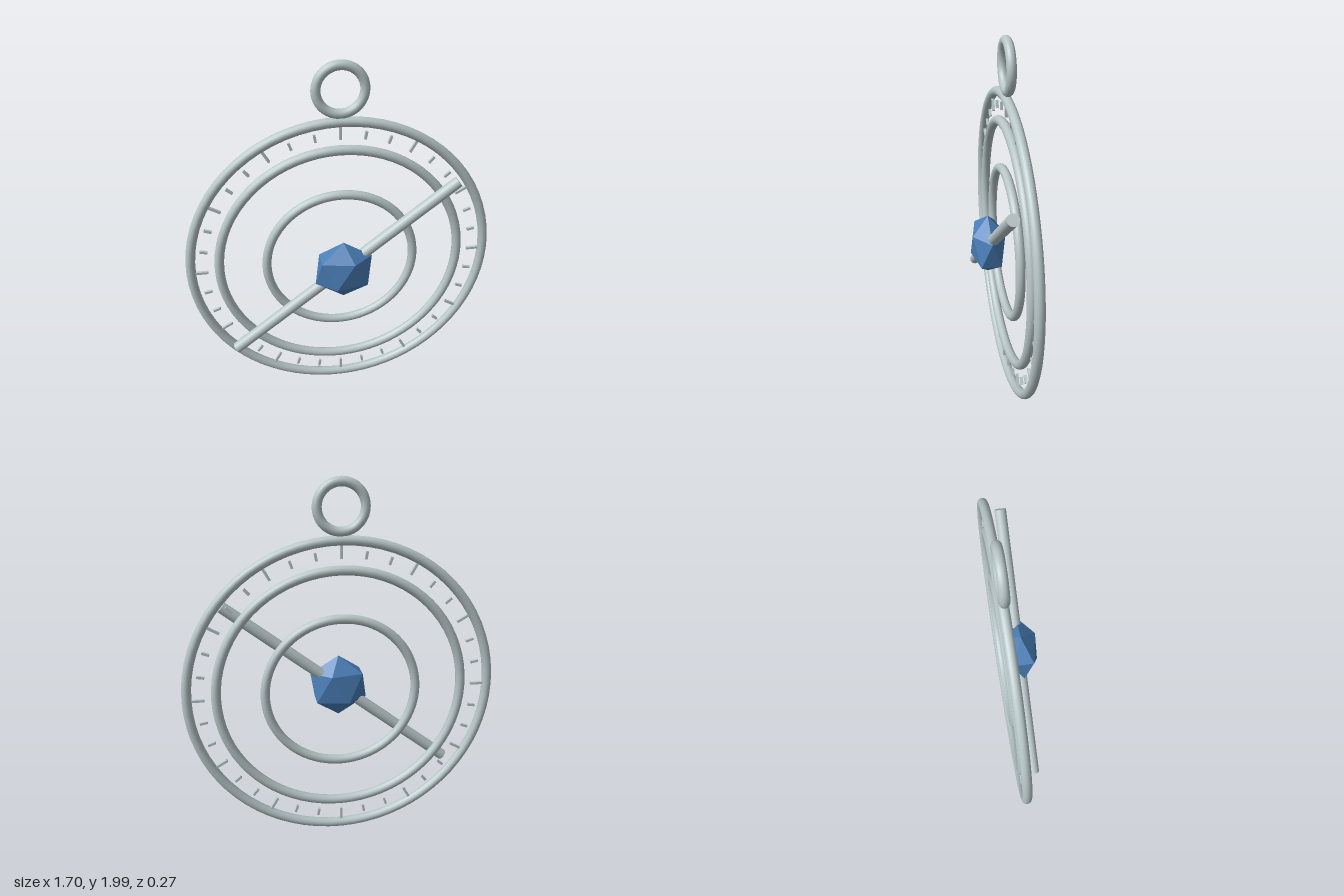
import * as THREE from 'three';

export function createModel() {
  const silver = new THREE.MeshStandardMaterial({ color: 0xb8c6c8 });
  silver.name = 'pale silver';
  const blue = new THREE.MeshStandardMaterial({ color: 0x4a7fb8 });
  blue.name = 'gem blue';

  const model = new THREE.Group();
  model.name = 'astrolabePendant';

  // The whole disc is turned slightly about the vertical axis
  const disc = new THREE.Group();
  disc.name = 'disc';
  disc.position.set(0, 0.86, -0.054);
  disc.rotation.y = 0.07;
  model.add(disc);

  const add = (name, geometry, material, parent = disc) => {
    const mesh = new THREE.Mesh(geometry, material);
    mesh.name = name;
    parent.add(mesh);
    return mesh;
  };

  // Concentric rings and the hanging loop
  const ring = (name, radius, tube, y = 0) => {
    add(name, new THREE.TorusGeometry(radius, tube, 14, 72), silver).position.y = y;
  };
  ring('outerRing', 0.826, 0.026);
  ring('middleRing', 0.672, 0.026);
  ring('innerRing', 0.413, 0.025);
  ring('hangingLoop', 0.123, 0.025, 0.992);

  // Scale marks every 10 degrees, longer every 30
  const ticks = new THREE.Group();
  ticks.name = 'scaleMarks';
  disc.add(ticks);
  for (let i = 0; i < 36; i++) {
    const major = i % 3 === 0;
    const angle = (i * Math.PI) / 18;
    const radius = major ? 0.77 : 0.757;
    const tick = add(major ? 'majorMark' : 'minorMark',
      new THREE.BoxGeometry(major ? 0.075 : 0.042, 0.013, 0.015), silver, ticks);
    tick.position.set(radius * Math.cos(angle), radius * Math.sin(angle), 0);
    tick.rotation.z = angle;
  }

  // Pointer bar across the front
  const bar = add('pointerBar', new THREE.CylinderGeometry(0.031, 0.031, 1.57, 20), silver);
  bar.position.z = 0.085;
  bar.rotation.z = THREE.MathUtils.degToRad(38 - 90);

  // Faceted gem standing on a vertex, flattened front to back
  const gemShape = new THREE.IcosahedronGeometry(0.175, 0);
  gemShape.rotateZ(-Math.atan(2 / (1 + Math.sqrt(5))));
  gemShape.scale(1, 1, 0.6);
  add('gem', gemShape, blue).position.z = 0.098;

  return model;
}
